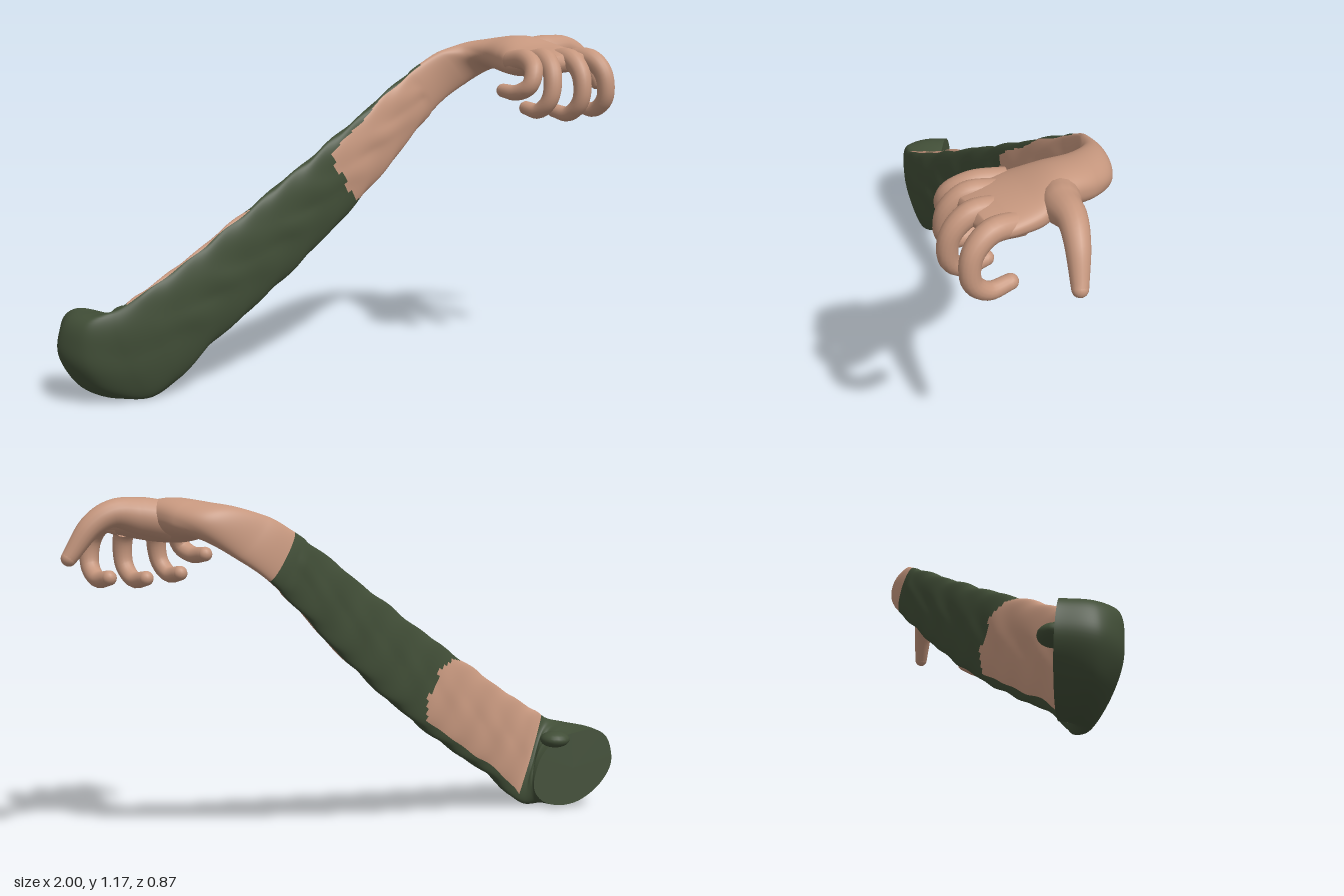
import * as THREE from 'three';

const V = (x, y, z) => new THREE.Vector3(x, y, z);
const { lerp, smoothstep } = THREE.MathUtils;
const RING = 72;

// Skin a row of rings (arrays of points); pick(row, col) chooses which index list gets each quad
function skinRings(rings, pick = () => 0) {
  const n = rings[0].length, lists = [[], []];
  for (let i = 0; i < rings.length - 1; i++) {
    for (let j = 0; j < n; j++) {
      const k = (j + 1) % n, A = i * n + j, B = i * n + k, C = A + n, D = B + n;
      lists[pick(i, j)].push(A, B, D, A, D, C);
    }
  }
  const geo = new THREE.BufferGeometry().setFromPoints(rings.flat());
  geo.setIndex(lists.flat());
  geo.computeVertexNormals();
  return lists.map((list) => {
    const g = geo.clone();
    g.setIndex(list);
    return g;
  });
}

// Rows of centre xyz, half width xy, half thickness xyz, smoothly interpolated into rings
function loftRings(sections, steps, bump) {
  const path = (get) => new THREE.CatmullRomCurve3(sections.map(get));
  const c = path((s) => V(s[0], s[1], s[2]));
  const a = path((s) => V(s[3], s[4], 0));
  const b = path((s) => V(s[5], s[6], s[7]));
  const rings = [], centres = [];
  for (let i = 0; i <= steps; i++) {
    const u = i / steps, C = c.getPoint(u), A = a.getPoint(u), B = b.getPoint(u), ring = [];
    for (let j = 0; j < RING; j++) {
      const t = (j / RING) * Math.PI * 2, sn = Math.sin(t);
      const dir = A.clone().multiplyScalar(Math.cos(t))
        .addScaledVector(B, Math.sign(sn) * Math.abs(sn) ** 0.85);
      ring.push(C.clone().addScaledVector(dir, 1 + bump(C, t) / Math.max(dir.length(), 0.03)));
    }
    rings.push(ring);
    centres.push(C);
  }
  return { rings, centres };
}

// Tapered round digit with a ball tip
function digit(name, points, radii, mat) {
  const group = new THREE.Group();
  group.name = name;
  const curve = new THREE.CatmullRomCurve3(points);
  const steps = 28, frames = curve.computeFrenetFrames(steps), rings = [];
  for (let i = 0; i <= steps; i++) {
    const f = (i / steps) * (radii.length - 1), k = Math.min(Math.floor(f), radii.length - 2);
    const C = curve.getPointAt(i / steps), r = lerp(radii[k], radii[k + 1], f - k), ring = [];
    for (let j = 0; j < 16; j++) {
      const t = (j / 16) * Math.PI * 2;
      ring.push(C.clone().addScaledVector(frames.normals[i], r * Math.cos(t))
        .addScaledVector(frames.binormals[i], r * Math.sin(t)));
    }
    rings.push(ring);
  }
  const shaft = new THREE.Mesh(skinRings(rings)[0], mat);
  shaft.name = name + 'Shaft';
  const tip = new THREE.Mesh(new THREE.SphereGeometry(radii[radii.length - 1], 16, 12), mat);
  tip.name = name + 'Tip';
  tip.position.copy(curve.getPoint(1));
  group.add(shaft, tip);
  return group;
}

// Curled finger from root and tip x, root and foremost z, and lowest y
function fingerPath(rootX, tipX, rootZ, frontZ, lowY) {
  const across = [0, 0.3, 0.6, 0.85, 1, 1];
  const forward = [0, 0.62, 0.97, 1, 0.7, 0.28];
  const height = [1, 1.04, 0.75, 0.25, 0, 0.04];
  return across.map((x, i) => V(lerp(rootX, tipX, x), lerp(lowY, 1.09, height[i]), lerp(rootZ, frontZ, forward[i])));
}

export function createModel() {
  const model = new THREE.Group();
  model.name = 'arm';
  const cloth = new THREE.MeshStandardMaterial({ color: 0x414e37, side: THREE.DoubleSide });
  cloth.name = 'greenCloth';
  const skin = new THREE.MeshStandardMaterial({ color: 0xc6977e, side: THREE.DoubleSide });
  skin.name = 'skin';
  const add = (name, geo, mat) => {
    const m = new THREE.Mesh(geo, mat);
    m.name = name;
    model.add(m);
    return m;
  };

  // Bent elbow, from the cut to the start of the forearm
  const elbow = [
    [-0.83, 0.16, -0.335, -0.02, 0.135, -0.115, 0.035, -0.09],
    [-0.855, 0.16, -0.275, -0.02, 0.145, -0.14, 0.02, -0.04],
    [-0.84, 0.163, -0.225, -0.04, 0.148, -0.12, 0.005, 0.008],
    [-0.785, 0.168, -0.195, -0.062, 0.155, -0.06, 0, 0.028],
    [-0.72, 0.215, -0.178, -0.075, 0.15, -0.01, 0, 0.034],
  ];
  // Straight flat forearm, sagging slightly and narrowing to the wrist
  const forearm = [0, 0.25, 0.5, 0.75, 1].map((k) => {
    const w = 0.152 - 0.062 * k * k;
    return [lerp(-0.62, 0.43, k), lerp(0.28, 0.99, k) - 0.028 * Math.sin(Math.PI * k), lerp(-0.17, -0.157, k),
      -0.55 * w, 0.84 * w, 0, 0, 0.036 - 0.011 * k * k];
  });
  // Wrist twisting into the level palm
  const hand = [
    [0.53, 1.055, -0.13, -0.058, 0.06, 0.008, -0.012, 0.028],
    [0.62, 1.1, -0.08, -0.075, 0.025, -0.005, -0.042, 0.03],
    [0.652, 1.11, -0.01, -0.087, 0, 0, -0.058, 0.006],
    [0.65, 1.108, 0.09, -0.108, -0.016, 0, -0.066, 0],
    [0.65, 1.09, 0.2, -0.147, -0.015, 0, -0.054, 0],
    [0.652, 1.087, 0.28, -0.142, -0.008, 0, -0.043, 0],
    [0.655, 1.085, 0.34, -0.115, -0.005, 0, -0.03, 0],
    [0.655, 1.083, 0.358, -0.01, 0, 0, -0.002, 0],
  ];
  const wrinkle = (c, t) => (c.x > 0.4 ? 0
    : 0.004 * Math.sin(c.x * 38 + 2 * Math.sin(t * 2)) * Math.cos(t * 3 + c.x * 9));
  const { rings, centres } = loftRings([...elbow, ...forearm, ...hand], 320, wrinkle);

  // Cloth covers all but the hand, a front patch near the wrist and a back patch near the elbow
  const isSkin = (i, j) => {
    const c = centres[i], t = ((j + 0.5) / RING) * Math.PI * 2;
    const cs = Math.cos(t), ragged = 0.006 * Math.sin(t * 9);
    const behindElbow = c.z > -0.185 && c.x > -0.76 && c.x < -0.22 - 0.08 * cs ** 4 + ragged;
    if (c.x > 0.44) return 1;
    if (Math.sin(t) > 0) {
      const hem = lerp(0.78, 0.97, smoothstep(c.x, 0, 0.3));
      return (c.x > 0.005 + 0.04 * cs ** 4 + ragged && cs < hem) || (behindElbow && cs > 0.985) ? 1 : 0;
    }
    return behindElbow && cs > -0.8 ? 1 : 0;
  };
  const [sleeveGeo, skinGeo] = skinRings(rings, isSkin);
  add('sleeve', sleeveGeo, cloth);
  add('forearmAndPalm', skinGeo, skin);

  // Flat cut closing the sleeve behind the elbow
  add('sleeveCap', skinRings([rings[0].map(() => centres[0]), rings[0]])[0], cloth);

  // Cloth fold on top of the cut
  const fold = add('sleeveFold', new THREE.SphereGeometry(1, 20, 12), cloth);
  fold.scale.set(0.055, 0.03, 0.05);
  fold.position.set(-0.76, 0.275, -0.3);
  fold.rotation.y = -0.6;

  // Curled fingers
  const fingers = {
    indexFinger: [0.75, 0.777, 0.24, 0.405, 0.917],
    middleFinger: [0.66, 0.638, 0.24, 0.407, 0.908],
    ringFinger: [0.58, 0.523, 0.22, 0.365, 0.921],
    littleFinger: [0.54, 0.455, 0.17, 0.33, 0.985],
  };
  for (const [name, place] of Object.entries(fingers)) {
    model.add(digit(name, fingerPath(...place), [0.037, 0.036, 0.032, 0.029, 0.024], skin));
  }

  // Outstretched thumb
  const thumbPath = [V(0.68, 1.105, 0.08), V(0.77, 1.122, 0.125), V(0.85, 1.13, 0.142),
    V(0.91, 1.095, 0.162), V(0.976, 0.998, 0.19)];
  model.add(digit('thumb', thumbPath, [0.06, 0.058, 0.042, 0.034, 0.024], skin));
  return model;
}
